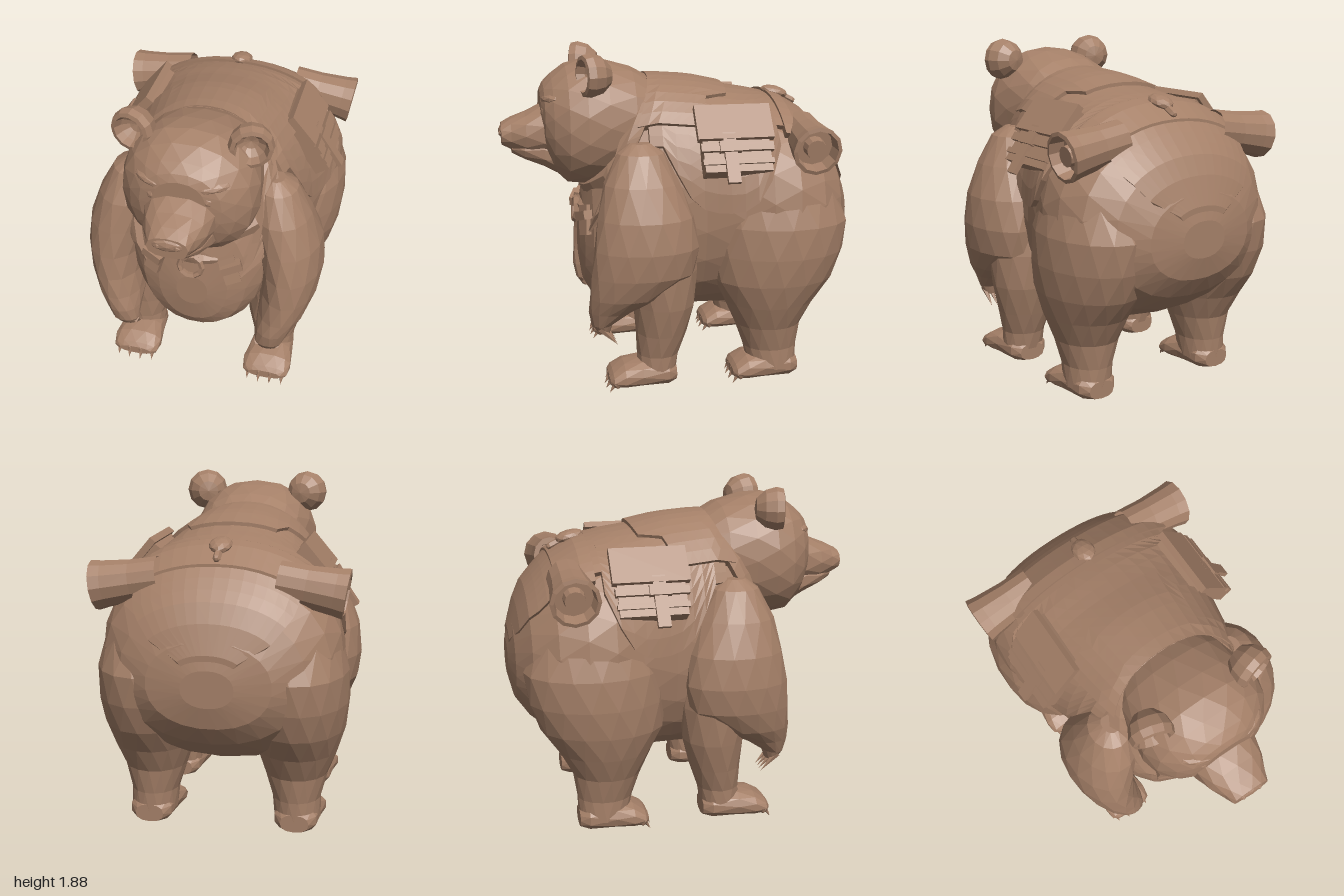
import * as THREE from 'three';

const brown = new THREE.MeshStandardMaterial({ color: 0xa58068, flatShading: true, side: THREE.DoubleSide });
brown.name = 'warm brown';

function mesh(name, geo, parent, pos = [0, 0, 0], rot = [0, 0, 0], scl = [1, 1, 1]) {
  const m = new THREE.Mesh(geo, brown);
  m.name = name;
  m.position.set(...pos);
  m.rotation.set(...rot);
  m.scale.set(...scl);
  parent.add(m);
  return m;
}

function gridGeometry(pos, idx) {
  const g = new THREE.BufferGeometry();
  g.setAttribute('position', new THREE.Float32BufferAttribute(pos, 3));
  g.setIndex(idx);
  g.computeVertexNormals();
  return g;
}

const spow = (v, p) => Math.sign(v) * Math.abs(v) ** p;

// Closed loft through elliptical sections [t, c1, c2, r1, r2] along 'z' (ascending) or 'y' (descending)
function loft(sections, axis, segs = 14, p = 1) {
  const pos = [], idx = [], n = sections.length;
  const put = (t, a, b) => (axis === 'z' ? pos.push(a, b, t) : pos.push(a, t, b));
  sections.forEach(([t, c1, c2, r1, r2], k) => {
    for (let j = 0; j < segs; j++) {
      const a = ((j + (k % 2) * 0.5) / segs) * Math.PI * 2;
      put(t, c1 + r1 * spow(Math.cos(a), p), c2 + r2 * spow(Math.sin(a), p));
    }
  });
  for (let i = 0; i < n - 1; i++) for (let j = 0; j < segs; j++) {
    const j2 = (j + 1) % segs, a = i * segs + j, b = i * segs + j2, c = a + segs, d = b + segs;
    if (i % 2) idx.push(a, b, d, a, d, c);
    else idx.push(a, b, c, b, d, c);
  }
  for (const [k, flip] of [[0, false], [n - 1, true]]) {
    const s = sections[k], c = pos.length / 3, o = k * segs;
    put(s[0], s[1], s[2]);
    for (let j = 0; j < segs; j++) {
      const a = o + j, b = o + (j + 1) % segs;
      flip ? idx.push(c, a, b) : idx.push(c, b, a);
    }
  }
  return gridGeometry(pos, idx);
}

// Torso sections: z, centre x, centre y, half width, half height
const TORSO = [
  [-0.99, 0, 0.93, 0.14, 0.1], [-0.96, 0, 0.94, 0.33, 0.23], [-0.88, 0, 0.97, 0.49, 0.37],
  [-0.75, 0, 0.99, 0.61, 0.49], [-0.6, 0, 1.0, 0.66, 0.57], [-0.45, 0, 1.0, 0.655, 0.605],
  [-0.3, 0, 1.0, 0.6, 0.63], [-0.1, 0, 1.02, 0.53, 0.655], [0.15, 0, 1.03, 0.48, 0.665], [0.3, 0, 1.02, 0.43, 0.63],
  [0.42, 0, 0.93, 0.38, 0.52], [0.5, 0, 0.85, 0.3, 0.39], [0.54, 0, 0.79, 0.2, 0.26], [0.56, 0, 0.76, 0.09, 0.1],
];
const P = 0.92;

function torsoAt(z) {
  let i = 0;
  while (i < TORSO.length - 2 && z > TORSO[i + 1][0]) i++;
  const A = TORSO[i], B = TORSO[i + 1], f = THREE.MathUtils.clamp((z - A[0]) / (B[0] - A[0]), 0, 1);
  const [, , cy, rx, ry] = A.map((v, k) => v + (B[k] - v) * f);
  return { cy, rx, ry };
}

// Cloth lying on the torso: place(u, v) gives [z, angle from the top]; its rim is tucked down onto the fur
function cloth(place, off, nu = 18, nv = 8) {
  const pos = [], idx = [];
  for (let i = 0; i <= nv + 2; i++) for (let j = 0; j <= nu + 2; j++) {
    const rim = i === 0 || j === 0 || i === nv + 2 || j === nu + 2;
    const v = THREE.MathUtils.clamp((i - 1) / nv, 0, 1), u = THREE.MathUtils.clamp((j - 1) / nu, 0, 1) * 2 - 1;
    const [z, a] = place(u, v), t = torsoAt(z), o = rim ? -0.015 : off;
    pos.push((t.rx + o) * spow(Math.sin(a), P), t.cy + (t.ry + o) * spow(Math.cos(a), P), z);
  }
  const w = nu + 3;
  for (let i = 0; i < nv + 2; i++) for (let j = 0; j < nu + 2; j++) {
    const a = i * w + j;
    idx.push(a, a + 1, a + w, a + 1, a + w + 1, a + w);
  }
  return gridGeometry(pos, idx);
}

function foot(parent, name, z) {
  const g = new THREE.Group();
  g.name = name;
  g.position.set(0.41, 0, z);
  parent.add(g);
  mesh('sole', loft([[-0.2, 0, 0.08, 0.08, 0.05], [-0.15, 0, 0.09, 0.12, 0.075], [0, 0, 0.095, 0.135, 0.08],
    [0.1, 0, 0.085, 0.148, 0.068], [0.165, 0, 0.07, 0.135, 0.045], [0.185, 0, 0.065, 0.1, 0.025]], 'z', 12, 0.85), g);
  for (let i = 0; i < 4; i++) {
    const x = -0.105 + i * 0.07, zz = 0.165 - Math.abs(i - 1.5) * 0.012;
    mesh('toe', new THREE.IcosahedronGeometry(0.035, 0), g, [x, 0.065, zz]);
    mesh('claw', new THREE.ConeGeometry(0.02, 0.075, 5), g, [x, 0.04, zz + 0.025], [2.6, 0, 0]);
  }
}

function buildSide() {
  const g = new THREE.Group();
  // Hind leg
  mesh('hindLeg', loft([[1.3, 0.36, -0.52, 0.12, 0.18], [1.12, 0.4, -0.54, 0.24, 0.32], [0.95, 0.41, -0.545, 0.275, 0.385],
    [0.78, 0.41, -0.53, 0.28, 0.38], [0.62, 0.41, -0.505, 0.26, 0.345], [0.48, 0.405, -0.49, 0.225, 0.26],
    [0.34, 0.4, -0.485, 0.175, 0.19], [0.2, 0.405, -0.5, 0.135, 0.155], [0.08, 0.41, -0.51, 0.13, 0.14]], 'y', 16), g);
  foot(g, 'hindFoot', -0.45);
  // Front leg
  mesh('frontLeg', loft([[0.95, 0.42, 0.16, 0.18, 0.2], [0.7, 0.43, 0.13, 0.2, 0.19], [0.5, 0.42, 0.125, 0.19, 0.175],
    [0.33, 0.41, 0.14, 0.16, 0.145], [0.2, 0.41, 0.16, 0.125, 0.12], [0.08, 0.41, 0.17, 0.12, 0.11]], 'y', 12), g);
  foot(g, 'frontFoot', 0.26);
  // Hanging arm with its curved claws
  mesh('arm', loft([[1.41, 0.4, 0.25, 0.05, 0.06], [1.36, 0.415, 0.25, 0.11, 0.13], [1.2, 0.445, 0.25, 0.165, 0.21],
    [1.02, 0.49, 0.235, 0.185, 0.265], [0.85, 0.515, 0.235, 0.178, 0.29], [0.7, 0.51, 0.255, 0.165, 0.285],
    [0.57, 0.485, 0.34, 0.14, 0.21], [0.48, 0.455, 0.43, 0.105, 0.125], [0.4, 0.435, 0.48, 0.08, 0.06],
    [0.35, 0.43, 0.47, 0.06, 0.035]], 'y', 14), g);
  for (let i = 0; i < 4; i++) {
    const x = 0.375 + i * 0.037;
    mesh('armClaw', new THREE.ConeGeometry(0.022, 0.14, 5), g, [x, 0.335, 0.445], [Math.PI + 0.75, 0, 0]);
  }
  // Ear: domed back, rim and hollow front
  const ear = [[0, -0.09], [0.06, -0.08], [0.105, -0.03], [0.122, 0.03], [0.112, 0.07], [0.09, 0.075], [0.075, 0.03], [0.04, 0], [0, -0.01]];
  mesh('ear', new THREE.LatheGeometry(ear.map((q) => new THREE.Vector2(...q)), 12), g, [0.305, 1.77, 0.48], [Math.PI / 2, 0, -0.25]);
  // Eye and brow
  mesh('eye', new THREE.IcosahedronGeometry(0.04, 1), g, [0.145, 1.555, 0.728]);
  mesh('brow', new THREE.IcosahedronGeometry(0.1, 1), g, [0.16, 1.625, 0.705], [0, 0.4, 0.1], [1, 0.32, 0.5]);
  mesh('nostril', new THREE.IcosahedronGeometry(0.022, 0), g, [0.05, 1.425, 0.98]);
  // Saddlebag
  const bag = new THREE.Group();
  bag.name = 'saddlebag';
  bag.position.set(0.49, 1.43, -0.25);
  bag.rotation.z = 0.6;
  g.add(bag);
  const box = (n, w, h, d, p, r) => mesh(n, new THREE.BoxGeometry(w, h, d), bag, p, r);
  box('pouch', 0.09, 0.37, 0.37, [0, -0.02, 0]);
  box('pouchFlap', 0.04, 0.21, 0.42, [0.04, 0.08, 0], [0, 0, 0.1]);
  box('pouchRail', 0.035, 0.045, 0.4, [0.05, -0.07, 0]);
  box('lowerRail', 0.025, 0.03, 0.39, [0.045, -0.15, 0]);
  box('pouchStrap', 0.025, 0.29, 0.07, [0.055, -0.13, 0.04]);
  box('pouchBuckle', 0.04, 0.06, 0.12, [0.06, -0.07, 0.04]);
  // Bedroll end with a coiled hollow
  const roll = [[0.11, 0], [0.112, 0.15], [0.126, 0.3], [0.136, 0.36], [0.115, 0.365], [0.105, 0.28], [0.06, 0.28], [0.055, 0.34], [0, 0.34]];
  mesh('bedroll', new THREE.LatheGeometry(roll.map((q) => new THREE.Vector2(...q)), 12), g, [0.315, 1.44, -0.67], [0, 0, -Math.PI / 2 - 0.16]);
  // Chest strap end
  mesh('chestTab', new THREE.BoxGeometry(0.09, 0.17, 0.05), g, [0.21, 0.94, 0.53], [-0.15, 0.35, 0.3]);
  mesh('chestBuckle', new THREE.BoxGeometry(0.12, 0.05, 0.07), g, [0.22, 0.97, 0.54], [0, 0.35, 0.3]);
  return g;
}

export function createModel() {
  const model = new THREE.Group();
  model.name = 'packBear';
  mesh('torso', loft(TORSO, 'z', 24, P), model);

  // Head, muzzle and jaw
  mesh('head', loft([[0.1, 0, 1.47, 0.28, 0.23], [0.25, 0, 1.49, 0.33, 0.29], [0.4, 0, 1.485, 0.36, 0.335],
    [0.52, 0, 1.475, 0.375, 0.355], [0.62, 0, 1.465, 0.35, 0.335], [0.7, 0, 1.475, 0.285, 0.27],
    [0.745, 0, 1.5, 0.22, 0.2], [0.765, 0, 1.53, 0.14, 0.13]], 'z', 18, 0.9), model);
  mesh('muzzle', loft([[0.64, 0, 1.42, 0.2, 0.18], [0.75, 0, 1.43, 0.192, 0.15], [0.85, 0, 1.42, 0.17, 0.115],
    [0.93, 0, 1.415, 0.13, 0.09], [0.985, 0, 1.415, 0.11, 0.06]], 'z', 12, 0.85), model);
  mesh('jaw', loft([[0.6, 0, 1.27, 0.2, 0.13], [0.75, 0, 1.315, 0.175, 0.09], [0.86, 0, 1.335, 0.14, 0.065],
    [0.93, 0, 1.35, 0.09, 0.045]], 'z', 12, 0.85), model);
  mesh('nose', new THREE.IcosahedronGeometry(0.1, 1), model, [0, 1.43, 0.955], [0, 0, 0], [1.15, 0.5, 0.45]);

  // Saddle cloth: its side flaps hang in a rounded hem
  mesh('saddleCloth', cloth((u, v) => {
    const z = 0.2 - 0.7 * v, t = torsoAt(z);
    const hem = 1.04 + 0.42 * Math.abs((z + 0.19) / 0.32) ** 3;
    const c = THREE.MathUtils.clamp((Math.min(hem, 1.38) - t.cy) / t.ry, 0, 1);
    return [z, u * Math.acos(c ** (1 / P))];
  }, 0.03, 22, 10), model);
  // Saddle pad, reaching further back along the spine
  mesh('saddlePad', cloth((u, v) => [0.16 + 0.1 * u * u - v * (Math.abs(u) < 0.55 ? 0.44 : 0.33), u * 0.85], 0.05, 14, 6), model);

  // Collar sweeping from the withers to the chest
  mesh('collar', cloth((u, v) => [0.2 - 0.14 * v + 0.34 * Math.abs(u) ** 1.5, u * 1.4], 0.045, 24, 2), model);

  // Chest band, bib and ring
  const band = (y, z, w, sag) => new THREE.CatmullRomCurve3([[-w, y + sag, z - 0.1], [-w / 2, y + sag * 0.2, z - 0.02],
    [0, y, z], [w / 2, y + sag * 0.2, z - 0.02], [w, y + sag, z - 0.1]].map((q) => new THREE.Vector3(...q)));
  mesh('bib', new THREE.TubeGeometry(band(1.11, 0.48, 0.32, 0.1), 10, 0.075, 6), model);
  mesh('chestBand', new THREE.TubeGeometry(band(0.99, 0.545, 0.24, 0.01), 8, 0.03, 5), model);
  mesh('chestRing', new THREE.TorusGeometry(0.065, 0.017, 5, 10), model, [0, 0.955, 0.575], [-0.1, 0, 0]);

  // Rump blanket with a rounded end, draped over the bedroll
  mesh('rumpBlanket', cloth((u, v) => {
    const z = -0.5 - 0.48 * v, w = 0.43 * Math.sqrt(1 - 0.9 * v ** 5);
    return [z, u * Math.asin(Math.min(0.93, (w / torsoAt(z).rx) ** (1 / P)))];
  }, 0.03, 14, 10), model);
  mesh('blanketFold', cloth((u, v) => [-0.54 - 0.2 * v, u * 0.78], 0.045, 14, 3), model);
  mesh('toggle', new THREE.IcosahedronGeometry(0.07, 1), model, [0, 1.61, -0.61], [-0.25, 0, 0], [0.9, 0.5, 1.2]);
  mesh('toggleCord', new THREE.CapsuleGeometry(0.022, 0.06, 2, 6), model, [0, 1.57, -0.69], [1.1, 0, 0]);

  // Mirrored limbs, face parts and packs
  for (const [name, s] of [['leftSide', 1], ['rightSide', -1]]) {
    const side = buildSide();
    side.name = name;
    side.scale.x = s;
    model.add(side);
  }
  return model;
}
